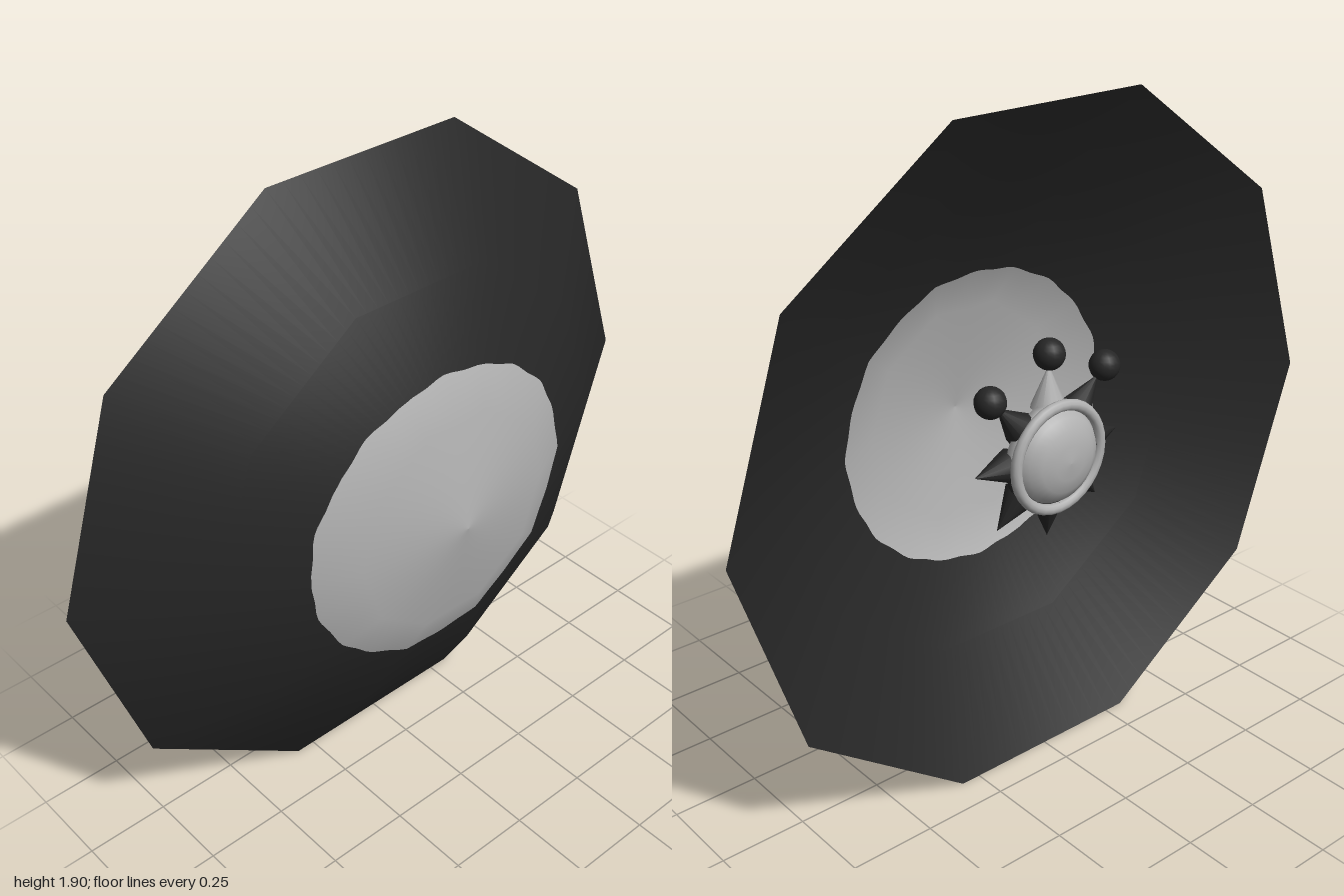
import * as THREE from 'three';

const CENTRE_Y = 0.951;

const material = (name, color, side = THREE.FrontSide) => {
  const m = new THREE.MeshStandardMaterial({ color, side });
  m.name = name;
  return m;
};

// Lathe around the z axis; profile points are [radius, z], listed from back to front
function latheZ(profile, segments, start = 0, length = Math.PI * 2) {
  const points = profile.map(([r, z]) => new THREE.Vector2(r, z));
  return new THREE.LatheGeometry(points, segments, start, length).rotateX(Math.PI / 2);
}

// Ten-sided shallow dish with a slightly wavy round patch in the middle
function dishGeometry() {
  const segments = 120, side = Math.PI / 5;
  const profile = [[1, -0.155], [0.68, 0.05], [0.455, 0.147], [0.33, 0.2], [0, 0.25]];
  const geometry = latheZ(profile, segments);
  const pos = geometry.attributes.position;
  for (let i = 0; i <= segments; i++) {
    const a = (i / segments) * Math.PI * 2;
    const flat = Math.cos(side / 2) / Math.cos(a - Math.round(a / side) * side);
    profile.forEach(([r, z], j) => {
      let radius = r * flat;
      if (j === 2) {
        // edge of the patch, kept on the flat facets
        radius = 0.445 - 0.01 * Math.cos(2 * a) + 0.003 * Math.cos(20 * a);
        z = 0.2 - ((radius / flat - 0.33) / 0.35) * 0.15;
      }
      pos.setXYZ(i * profile.length + j, Math.sin(a) * radius, -Math.cos(a) * radius, z);
    });
  }
  // Outer two bands dark, inner two light
  for (let i = 0; i < segments; i++) {
    geometry.addGroup(i * 24, 12, 0);
    geometry.addGroup(i * 24 + 12, 12, 1);
  }
  return geometry;
}

export function createModel() {
  const model = new THREE.Group();
  model.name = 'dishWithCrownedHub';

  const dark = material('black', 0x262626, THREE.DoubleSide);
  const light = material('lightGrey', 0xb0b0b0, THREE.DoubleSide);

  const add = (parent, name, geometry, mat) => {
    const mesh = new THREE.Mesh(geometry, mat);
    mesh.name = name;
    parent.add(mesh);
    return mesh;
  };

  const dish = add(model, 'dish', dishGeometry(), [dark, light]);
  dish.position.y = CENTRE_Y;

  // Small hub at the back
  const hub = new THREE.Group();
  hub.name = 'hub';
  hub.position.y = CENTRE_Y;
  model.add(hub);

  const body = [[0.12, -0.2], [0.155, -0.195], [0.155, -0.16], [0.1, -0.12], [0, -0.12]];
  add(hub, 'hubUpperHalf', latheZ(body, 16, Math.PI / 2, Math.PI), light);
  add(hub, 'hubLowerHalf', latheZ(body, 16, -Math.PI / 2, Math.PI), dark);

  const ring = add(hub, 'hubRing', new THREE.TorusGeometry(0.15, 0.016, 10, 32), light);
  ring.position.z = -0.2;

  add(hub, 'hubDome',
    latheZ([[0, -0.252], [0.05, -0.248], [0.09, -0.237], [0.12, -0.218], [0.135, -0.195]], 32), light);

  // Eight spikes; the top three carry balls
  for (let i = 0; i < 8; i++) {
    const angle = (i * Math.PI) / 4;
    const dx = Math.cos(angle), dy = Math.sin(angle);
    const spike = add(hub, 'spike', new THREE.ConeGeometry(0.05, 0.12, 12), i === 2 ? light : dark);
    spike.rotation.z = angle - Math.PI / 2;
    spike.position.set(dx * 0.195, dy * 0.195, -0.155);
    if (i >= 1 && i <= 3) {
      const ball = add(hub, 'spikeBall', new THREE.SphereGeometry(0.044, 16, 12), dark);
      ball.position.set(dx * 0.286, dy * 0.286, -0.157);
    }
  }

  return model;
}
